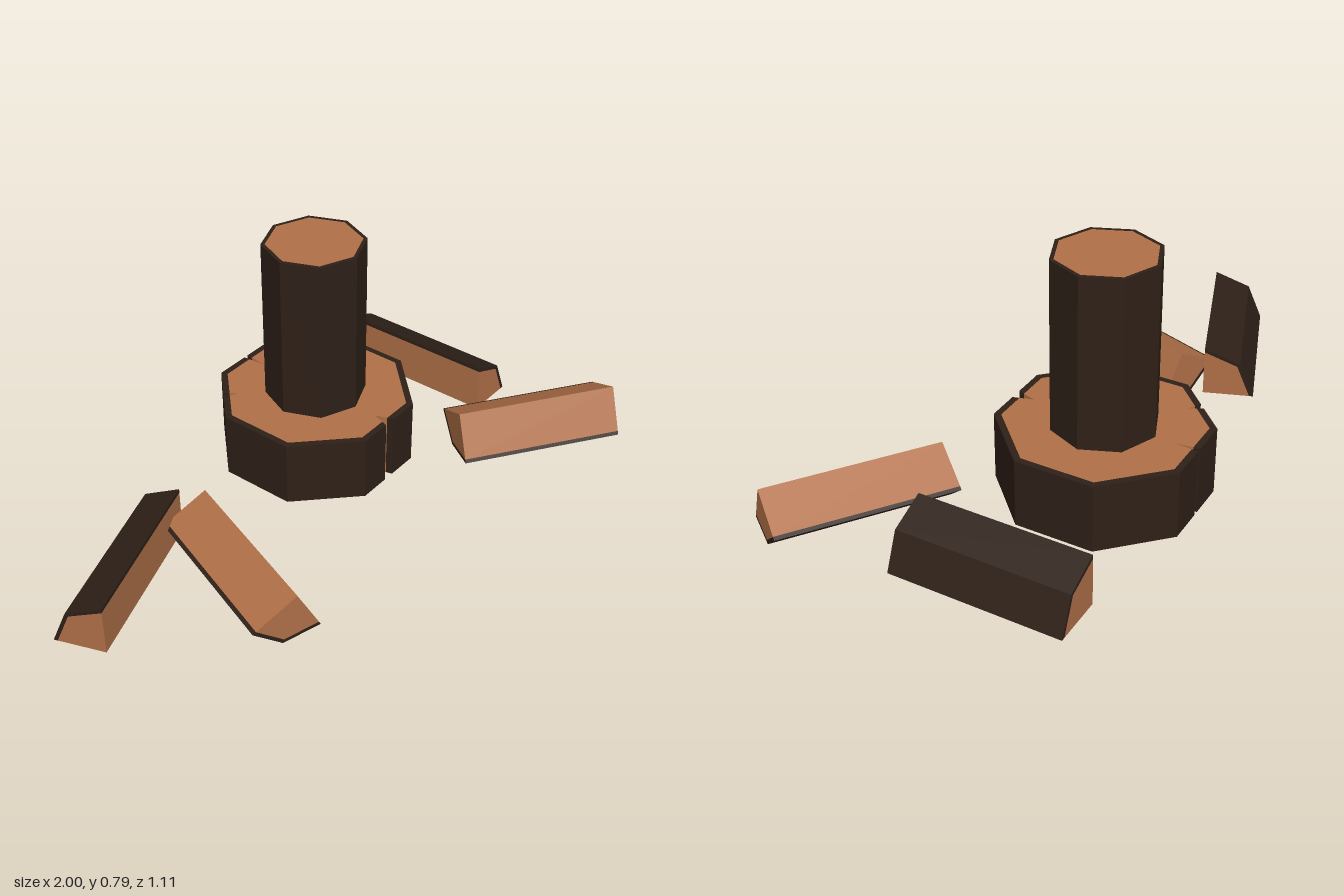
import * as THREE from 'three';

const wood = new THREE.MeshStandardMaterial({ color: 0xb07048, flatShading: true });
const bark = new THREE.MeshStandardMaterial({ color: 0x2e2018, flatShading: true });

const LOG_R = 0.168, LOG_LEN = 0.56, LOG_BARK = 0.013;
const STUMP_H = 0.225, STUMP_APOTHEM = 0.308, STUMP_BARK = 0.021;
const rad = THREE.MathUtils.degToRad;

const polar = (deg, r) => new THREE.Vector2(r * Math.cos(rad(deg)), r * Math.sin(rad(deg)));
const octagon = (r, start = 0) => Array.from({ length: 8 }, (_, i) => polar(start + i * 45, r));

function prism(name, shape, depth, material) {
  const geo = new THREE.ExtrudeGeometry(shape, { depth, bevelEnabled: false });
  const mesh = new THREE.Mesh(geo, material);
  mesh.name = name;
  return mesh;
}

// Point on an octagon facet: r out from the centre, s along the facet
function onFacet(facet, r, s) {
  const a = rad(facet * 45);
  return new THREE.Vector2(r * Math.cos(a) - s * Math.sin(a), r * Math.sin(a) + s * Math.cos(a));
}

// Chopping stump: wood core and bark plates, split by V-shaped cracks
function makeStump() {
  const group = new THREE.Group();
  group.name = 'stump';
  const cracks = { 2: { w: 0.008, d: 0.075 }, 3: { w: 0.013, d: 0.05 }, 6: { w: 0.02, d: 0.064 } };
  const inner = STUMP_APOTHEM - STUMP_BARK;
  const corner = (k, ap) => polar(k * 45 + 22.5, ap / Math.cos(Math.PI / 8));
  const halfWidth = (c, ap) => c.w * (1 - (STUMP_APOTHEM - ap) / c.d);

  const core = [];
  for (let k = 0; k < 8; k++) {
    const c = cracks[k];
    if (c) {
      const w = halfWidth(c, inner);
      core.push(onFacet(k, inner, -w), onFacet(k, STUMP_APOTHEM - c.d, 0), onFacet(k, inner, w));
    }
    core.push(corner(k, inner));
  }
  group.add(prism('stumpWood', new THREE.Shape(core), STUMP_H, wood));

  const facets = Object.keys(cracks).map(Number);
  facets.forEach((from, i) => {
    const to = i + 1 < facets.length ? facets[i + 1] : facets[0] + 8;
    const edge = (ap) => {
      const pts = [onFacet(from, ap, halfWidth(cracks[from], ap))];
      for (let k = from; k < to; k++) pts.push(corner(k, ap));
      pts.push(onFacet(to, ap, -halfWidth(cracks[to % 8], ap)));
      return pts;
    };
    const outline = [...edge(STUMP_APOTHEM), ...edge(inner).reverse()];
    group.add(prism('stumpBark', new THREE.Shape(outline), STUMP_H, bark));
  });
  group.rotation.x = -Math.PI / 2;
  return group;
}

// Whole log standing on the stump
function makeLog() {
  const group = new THREE.Group();
  group.name = 'uprightLog';
  const inner = octagon(LOG_R - LOG_BARK);
  const ring = new THREE.Shape(octagon(LOG_R));
  ring.holes.push(new THREE.Path(inner));
  group.add(prism('logWood', new THREE.Shape(inner), LOG_LEN, wood));
  group.add(prism('logBark', ring, LOG_LEN, bark));
  group.rotation.x = -Math.PI / 2;
  return group;
}

// Quarter log: two split faces meeting at an edge, bark on the outer two facets.
// roll = angle of the first split face, yaw = heading, (x, z) = middle of the split edge
function makeSplitLog(name, x, z, yaw, roll) {
  const group = new THREE.Group();
  group.name = name;
  const arc = (r) => [0, 45, 90].map((a) => polar(roll + a, r));
  const inner = arc(LOG_R - LOG_BARK), outer = arc(LOG_R);
  const parts = [
    prism('splitWood', new THREE.Shape([new THREE.Vector2(), ...inner]), LOG_LEN, wood),
    prism('splitBark', new THREE.Shape([...outer, ...inner.slice().reverse()]), LOG_LEN, bark),
  ];
  for (const part of parts) {
    part.geometry.translate(0, 0, -LOG_LEN / 2);
    group.add(part);
  }
  const lowest = Math.min(0, ...outer.map((p) => p.y));
  group.position.set(x, -lowest, z);
  group.rotation.y = rad(yaw);
  return group;
}

export function createModel() {
  const model = new THREE.Group();
  model.name = 'choppingBlock';

  const stump = makeStump();
  stump.position.set(0.204, 0, -0.246);
  const log = makeLog();
  log.position.set(0.204, STUMP_H, -0.246);
  model.add(stump, log);

  // Split firewood scattered around the stump
  model.add(
    makeSplitLog('splitLogLeft', 0.708, -0.202, 0, 0),
    makeSplitLog('splitLogBackRight', -0.68, -0.193, 110.3, 0),
    makeSplitLog('splitLogFrontRight', -0.458, 0.032, -19.7, -153),
    makeSplitLog('splitLogFrontLeft', 0.682, 0.33, -125.2, -152),
  );
  return model;
}
